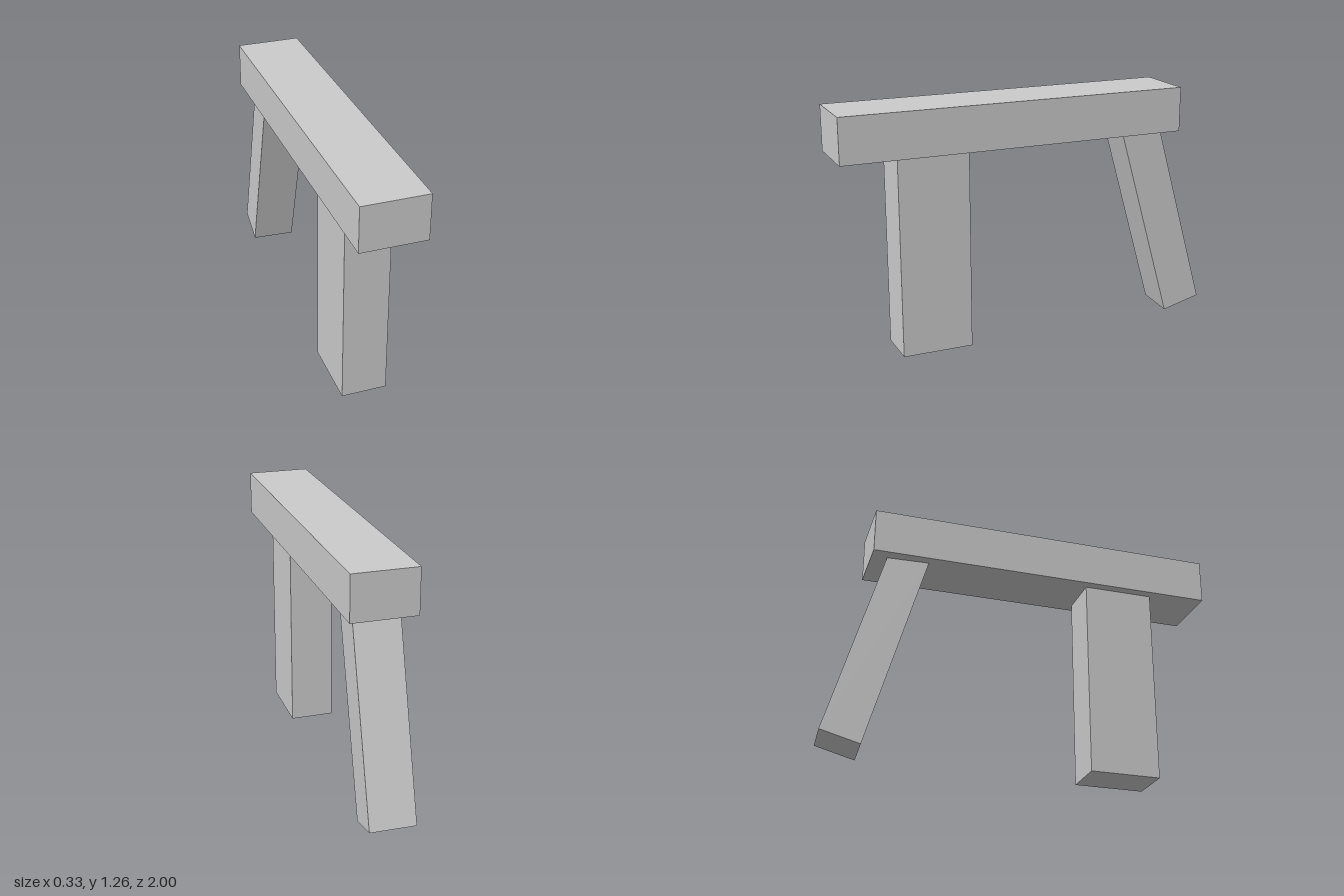
import * as THREE from 'three';

const material = new THREE.MeshStandardMaterial({ color: 0xcccccc, flatShading: true });

// Box with a name, size and centre
function block(name, size, centre) {
  const mesh = new THREE.Mesh(new THREE.BoxGeometry(...size), material);
  mesh.name = name;
  mesh.position.set(...centre);
  return mesh;
}

export function createModel() {
  const model = new THREE.Group();
  model.name = 'trestle';

  // Long horizontal beam, overhanging the upright leg at the front
  const beam = block('beam', [0.328, 0.23, 1.805], [-0.001, 1.145, 0.0975]);

  // Thick upright leg
  const frontLeg = block('frontLeg', [0.23, 1.035, 0.365], [-0.002, 0.5205, 0.5265]);

  // Thinner leg splayed backwards, twisted slightly about its own axis
  const backLeg = block('backLeg', [0.228, 1.067, 0.207], [0.004, 0.557, -0.748]);
  backLeg.rotation.set(0.278, -0.047, 0);

  model.add(beam, frontLeg, backLeg);
  return model;
}
